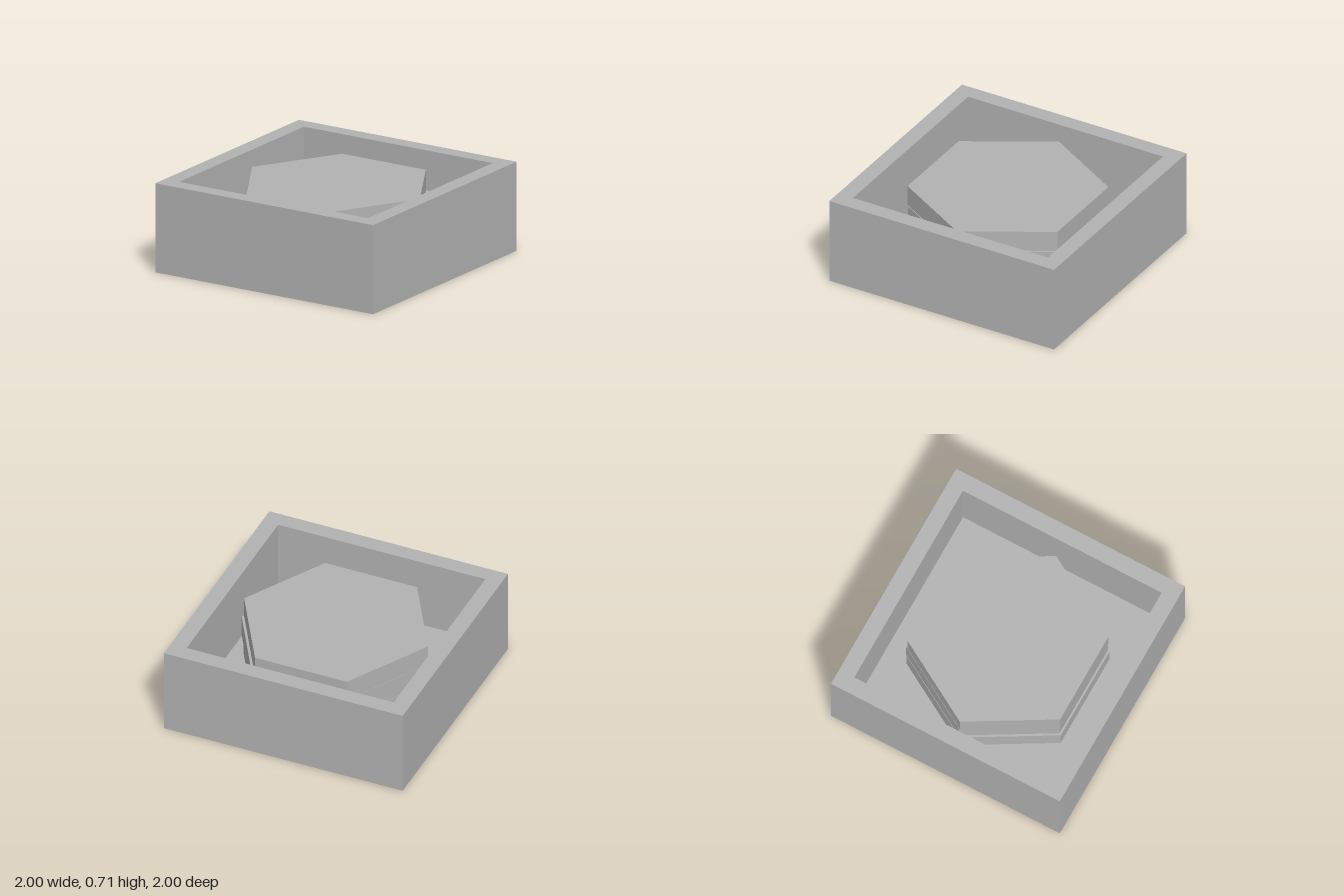
import * as THREE from 'three';

const HEIGHT = 0.714, FLOOR = 0.12, INNER = 0.868, SLAB = 0.17;

function square(half, PathType) {
  const p = new PathType();
  p.moveTo(-half, -half);
  p.lineTo(half, -half);
  p.lineTo(half, half);
  p.lineTo(-half, half);
  p.closePath();
  return p;
}

export function createModel() {
  const model = new THREE.Group();
  model.name = 'boxWithHexTiles';
  const grey = new THREE.MeshStandardMaterial({ color: 0xb2b2b2 });
  grey.name = 'grey';

  const add = (name, geometry, x, y, z) => {
    const mesh = new THREE.Mesh(geometry, grey);
    mesh.name = name;
    mesh.position.set(x, y, z);
    model.add(mesh);
  };

  // Square walls, full height
  const frame = square(1, THREE.Shape);
  frame.holes.push(square(INNER, THREE.Path));
  const walls = new THREE.ExtrudeGeometry(frame, { depth: HEIGHT, bevelEnabled: false });
  walls.rotateX(-Math.PI / 2);
  add('walls', walls, 0, 0, 0);

  // Floor closing the bottom of the tray
  add('floor', new THREE.BoxGeometry(2 * INNER, FLOOR, 2 * INNER), 0, FLOOR / 2, 0);

  // Stack of hexagonal tiles, the middle one slightly shifted
  const tiles = [
    { name: 'bottomTile', radius: 0.777, x: 0, z: 0 },
    { name: 'middleTile', radius: 0.775, x: 0.01, z: -0.014 },
    { name: 'topTile', radius: 0.77, x: 0, z: 0 },
  ];
  tiles.forEach(({ name, radius, x, z }, i) => {
    const tile = new THREE.CylinderGeometry(radius, radius, SLAB, 6).toNonIndexed();
    tile.rotateY(Math.PI / 6); // corners on the x axis
    tile.computeVertexNormals();
    add(name, tile, x, FLOOR + SLAB * (i + 0.5), z);
  });

  return model;
}
